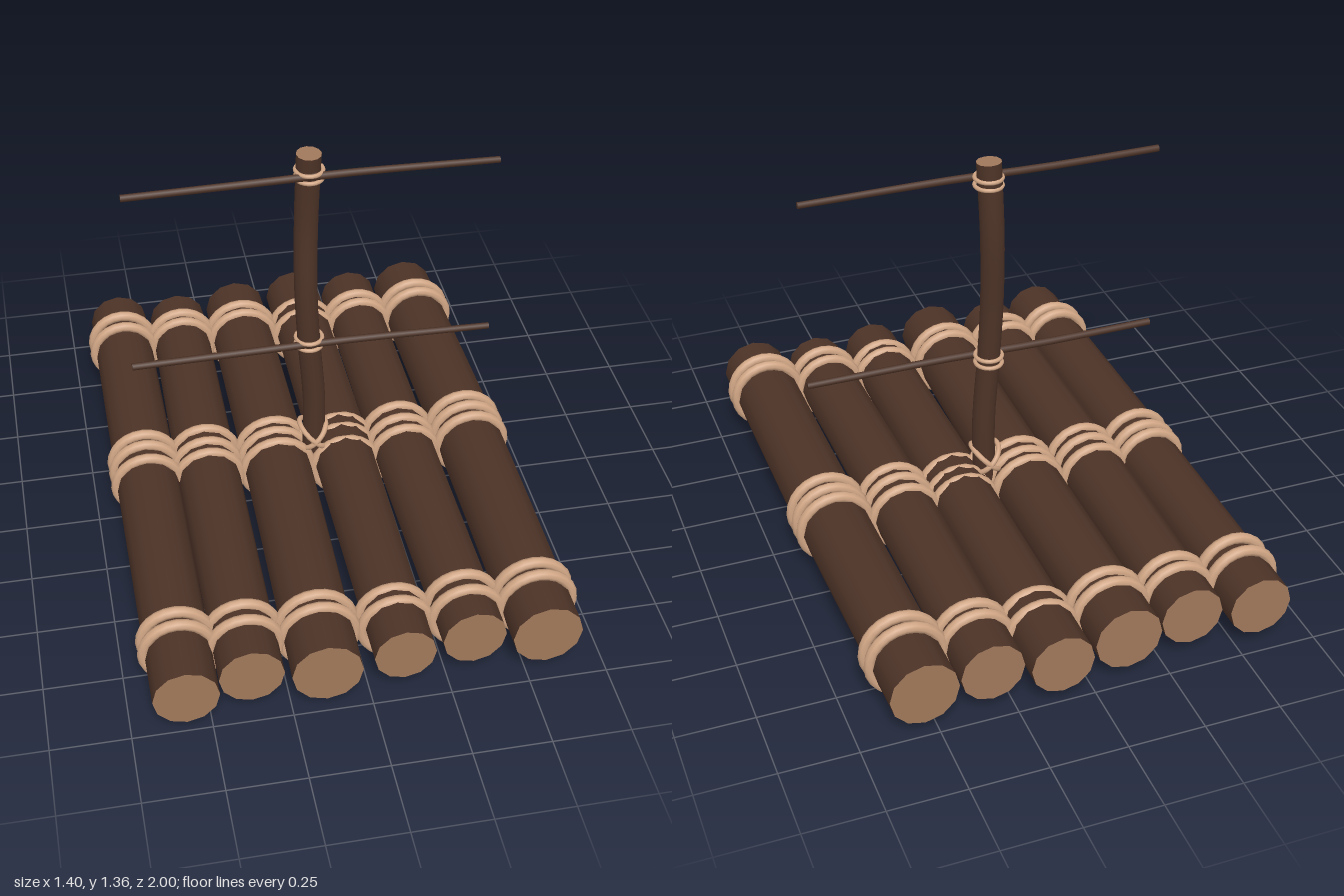
import * as THREE from 'three';

const bark = new THREE.MeshStandardMaterial({ color: 0x4d3327 });
const cutWood = new THREE.MeshStandardMaterial({ color: 0xa0785a });
const rope = new THREE.MeshStandardMaterial({ color: 0xd0a584 });

const curveOf = (pts) => new THREE.CatmullRomCurve3(pts.map((p) => new THREE.Vector3(...p)));

// Bent wooden pole: a tube whose radius runs through r[0], r[1], r[2], closed by flat end caps
function pole(name, curve, r, sides, steps, capMaterial) {
  const group = new THREE.Group();
  group.name = name;
  const geo = new THREE.TubeGeometry(curve, steps, 1, sides, false);
  const pos = geo.attributes.position;
  const v = new THREE.Vector3();
  for (let i = 0; i <= steps; i++) {
    const u = i / steps;
    const c = curve.getPointAt(u);
    const radius = u < 0.5
      ? THREE.MathUtils.lerp(r[0], r[1], u * 2)
      : THREE.MathUtils.lerp(r[1], r[2], u * 2 - 1);
    for (let j = 0; j <= sides; j++) {
      const k = i * (sides + 1) + j;
      v.fromBufferAttribute(pos, k).sub(c).multiplyScalar(radius).add(c);
      pos.setXYZ(k, v.x, v.y, v.z);
    }
  }
  const side = new THREE.Mesh(geo, bark);
  side.name = name + 'Bark';
  group.add(side);

  // Fans over the first and last rings
  const tri = [];
  for (const end of [0, 1]) {
    const c = curve.getPointAt(end);
    const base = end * steps * (sides + 1);
    for (let j = 0; j < sides; j++) {
      const pair = end ? [j + 1, j] : [j, j + 1];
      tri.push(c.x, c.y, c.z);
      for (const k of pair) tri.push(...v.fromBufferAttribute(pos, base + k).toArray());
    }
  }
  const capGeo = new THREE.BufferGeometry();
  capGeo.setAttribute('position', new THREE.Float32BufferAttribute(tri, 3));
  capGeo.computeVertexNormals();
  const caps = new THREE.Mesh(capGeo, capMaterial);
  caps.name = name + 'Ends';
  group.add(caps);
  return group;
}

function ropeRing(name, radius, thickness, x, y, z) {
  const ring = new THREE.Mesh(new THREE.TorusGeometry(radius, thickness, 8, 24), rope);
  ring.name = name;
  ring.position.set(x, y, z);
  return ring;
}

export function createModel() {
  const raft = new THREE.Group();
  raft.name = 'raft';

  // Deck logs: x at front, middle and back; z of both ends; radii; height of the rope rings
  const logs = [
    { x: [-0.578, -0.575, -0.573], z: [1.0, -0.96], r: [0.103, 0.106, 0.103], ropeY: 0.15 },
    { x: [-0.37, -0.365, -0.352], z: [0.95, -0.93], r: [0.102, 0.106, 0.102], ropeY: 0.14 },
    { x: [-0.14, -0.125, -0.125], z: [0.98, -0.96], r: [0.111, 0.114, 0.11], ropeY: 0.138 },
    { x: [0.11, 0.11, 0.108], z: [0.95, -1.0], r: [0.098, 0.105, 0.102], ropeY: 0.127 },
    { x: [0.338, 0.322, 0.318], z: [0.92, -0.96], r: [0.102, 0.106, 0.102], ropeY: 0.14 },
    { x: [0.565, 0.56, 0.54], z: [0.95, -0.98], r: [0.112, 0.114, 0.11], ropeY: 0.15 },
  ];
  const ropeZ = [0.81, 0.75, 0.01, -0.055, -0.115, -0.755, -0.815];
  logs.forEach(({ x, z, r, ropeY }, n) => {
    const curve = curveOf([
      [x[0], 0.142, z[0]], [x[1], 0.146, (z[0] + z[1]) / 2], [x[2], 0.144, z[1]],
    ]);
    raft.add(pole('log' + (n + 1), curve, r, 12, 10, cutWood));
    // Two lashings at each end, three at the middle
    ropeZ.forEach((rz, i) => {
      const p = curve.getPoint((z[0] - rz) / (z[0] - z[1]));
      const shift = ((n * 2 + i) % 3 - 1) * 0.004;
      raft.add(ropeRing('logLashing', r[1] + 0.003, 0.018, p.x, ropeY, rz + shift));
    });
  });

  // Crooked mast
  const mast = curveOf([
    [0.008, 0.16, -0.036], [0.01, 0.4, -0.036], [-0.007, 0.64, -0.036], [-0.016, 0.85, -0.042],
    [-0.012, 1.1, -0.056], [-0.005, 1.36, -0.043],
  ]);
  raft.add(pole('mast', mast, [0.039, 0.038, 0.041], 12, 20, cutWood));

  // Crossed ropes around the foot of the mast
  for (const s of [-1, 1]) {
    const ring = ropeRing('mastFootLashing', 0.063, 0.009, 0.005, 0.25, -0.034);
    ring.rotation.set(Math.PI / 2, s * Math.PI / 4, 0);
    raft.add(ring);
  }

  // Two thin yards, each tied to the mast with a pair of rope loops
  [[0.645, 'lowerYard', -0.006], [1.294, 'upperYard', -0.005]].forEach(([y, name, x]) => {
    const curve = curveOf([
      [-0.6, y - 0.004, -0.004], [-0.2, y - 0.002, -0.01], [0.1, y + 0.004, -0.008], [0.6, y, -0.003],
    ]);
    raft.add(pole(name, curve, [0.012, 0.013, 0.011], 8, 10, bark));
    for (const dy of [-0.013, 0.013]) {
      const loop = ropeRing(name + 'Lashing', 0.044, 0.007, x, y + dy - 0.002, -0.04);
      loop.rotation.x = Math.PI / 2;
      loop.scale.y = 1.05;
      raft.add(loop);
    }
  });

  return raft;
}
